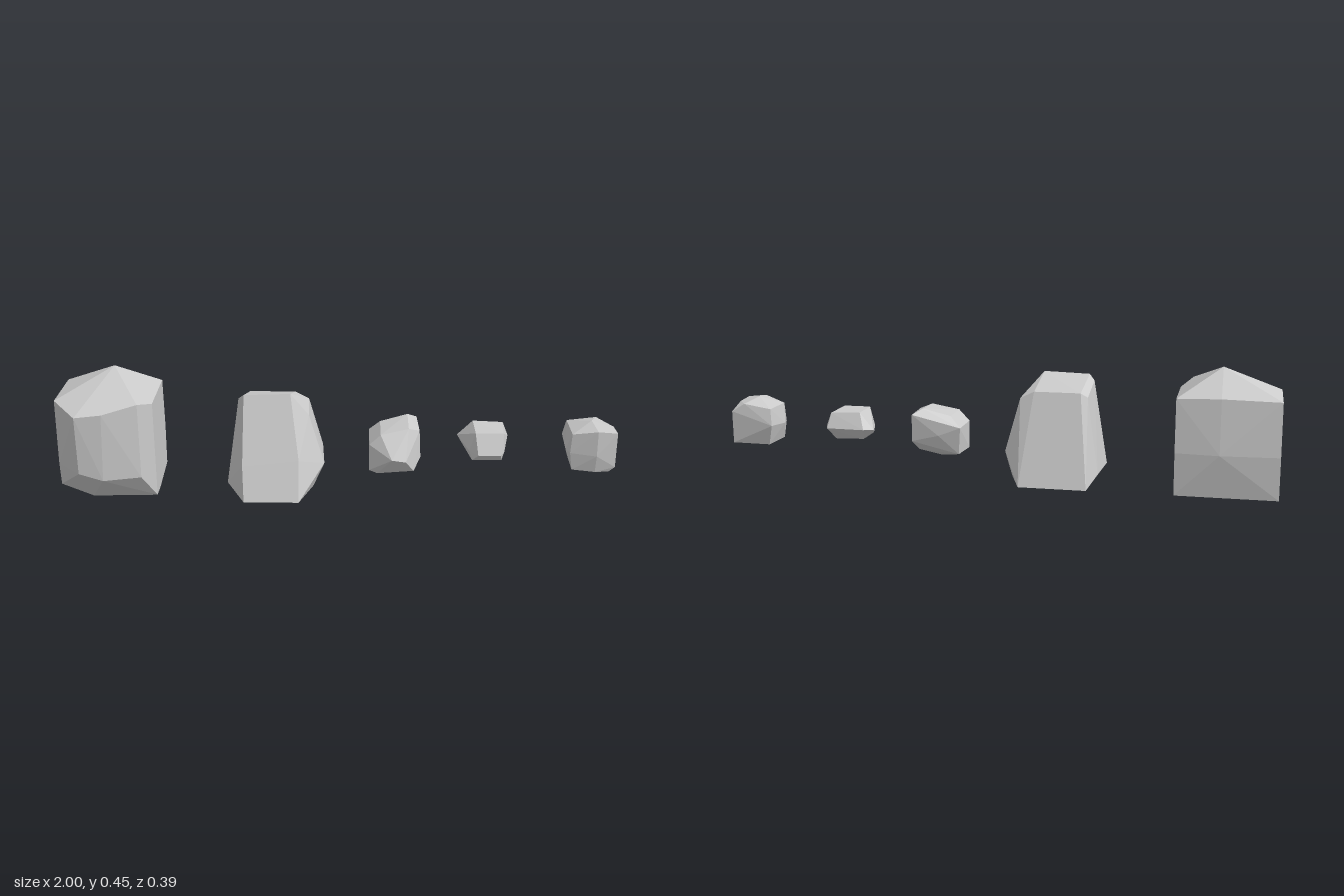
import * as THREE from 'three';
import { ConvexGeometry } from 'three/addons/geometries/ConvexGeometry.js';

const stone = new THREE.MeshStandardMaterial({ color: 0xcccccc, flatShading: true });

// A faceted rock: the hull around a few corner points [x, y, z]
function rock(name, corners) {
  const geometry = new ConvexGeometry(corners.map((c) => new THREE.Vector3(...c)));
  const mesh = new THREE.Mesh(geometry, stone);
  mesh.name = name;
  return mesh;
}

export function createModel() {
  const group = new THREE.Group();
  group.name = 'rocks';

  // Boulder with a pointed top
  group.add(rock('pointedBoulder', [
    [-0.8, 0.452, -0.06], // peak
    [-1, 0.355, -0.17], [-0.8, 0.36, -0.178], [-0.65, 0.355, -0.17], // shoulder
    [-0.65, 0.355, 0.07], [-0.69, 0.38, 0.145], [-0.81, 0.355, 0.183],
    [-0.905, 0.345, 0.185], [-1, 0.36, 0.06],
    [-1, 0.17, -0.18], [-0.8, 0.17, -0.193], [-0.65, 0.17, -0.18], // waist
    [-0.69, 0.105, 0.15], [-0.82, 0.105, 0.183], [-0.905, 0.13, 0.18], [-1, 0.12, 0.07],
    [-1, 0.02, -0.17], [-0.65, 0.02, -0.17], [-0.65, 0, 0], // base
    [-0.65, 0, 0.075], [-0.88, 0, 0.085], [-0.88, 0, 0], [-1, 0.035, 0.06],
  ]));

  // Tapered boulder with a sloping flat top
  group.add(rock('taperedBoulder', [
    [-0.315, 0.345, -0.085], [-0.15, 0.345, -0.085], // top
    [-0.16, 0.395, 0.07], [-0.325, 0.39, 0.07],
    [-0.345, 0.37, 0.05], [-0.34, 0.33, -0.08], [-0.095, 0.32, 0.08], [-0.1, 0.32, -0.08],
    [-0.33, 0.15, 0.153], [-0.13, 0.17, 0.147], // waist
    [-0.04, 0.15, 0.115], [-0.05, 0.13, -0.1],
    [-0.35, 0.02, -0.175], [-0.11, 0.02, -0.175], [-0.075, 0.045, -0.1], // base
    [-0.08, 0.055, 0.103], [-0.13, 0.03, 0.193], [-0.325, 0.03, 0.193],
    [-0.39, 0.06, 0.09], [-0.38, 0.06, -0.09],
  ]));

  // Small rounded rock
  group.add(rock('roundedRock', [
    [0.16, 0.24, -0.06], [0.16, 0.24, 0.07], [0.26, 0.265, -0.07], [0.26, 0.26, 0.06],
    [0.295, 0.245, -0.095], [0.3, 0.245, 0.04],
    [0.12, 0.2, -0.08], [0.12, 0.2, 0.065], [0.12, 0.1, 0.065], [0.13, 0.1, -0.06],
    [0.305, 0.145, 0.045], [0.3, 0.145, -0.08], [0.2, 0.16, 0.115], [0.25, 0.15, 0.108],
    [0.2, 0.17, -0.085],
    [0.28, 0.105, 0.08], [0.28, 0.11, -0.05], [0.2, 0.09, -0.035], [0.15, 0.09, 0.07],
  ]));

  // Low flat rock
  group.add(rock('flatRock', [
    [0.5, 0.24, 0.05], [0.6, 0.24, 0.05], [0.5, 0.24, -0.07], [0.61, 0.235, -0.07],
    [0.445, 0.18, -0.08], [0.48, 0.18, -0.095], [0.62, 0.18, -0.09], [0.63, 0.185, -0.065],
    [0.48, 0.17, 0.045], [0.605, 0.17, 0.055], [0.51, 0.165, 0.08], [0.59, 0.165, 0.08],
    [0.49, 0.14, 0.06], [0.595, 0.14, 0.06], [0.49, 0.14, -0.06], [0.6, 0.135, -0.05],
  ]));

  // Small blocky rock with a chipped top corner
  group.add(rock('blockyRock', [
    [0.92, 0.272, 0], [0.845, 0.24, 0.055], [0.93, 0.262, 0.085], [1, 0.255, 0.08],
    [1, 0.25, 0.005], [1, 0.225, -0.075], [0.95, 0.255, -0.075], [0.845, 0.24, -0.08],
    [0.835, 0.18, -0.095], [0.83, 0.17, 0.02], [0.84, 0.17, 0.06], [0.93, 0.17, 0.09],
    [1, 0.125, 0.08], [0.98, 0.105, 0.075], [1, 0.105, -0.01], [1, 0.105, -0.07],
    [0.855, 0.105, -0.075], [0.85, 0.105, 0.06], [0.93, 0.105, 0.08],
  ]));

  return group;
}
